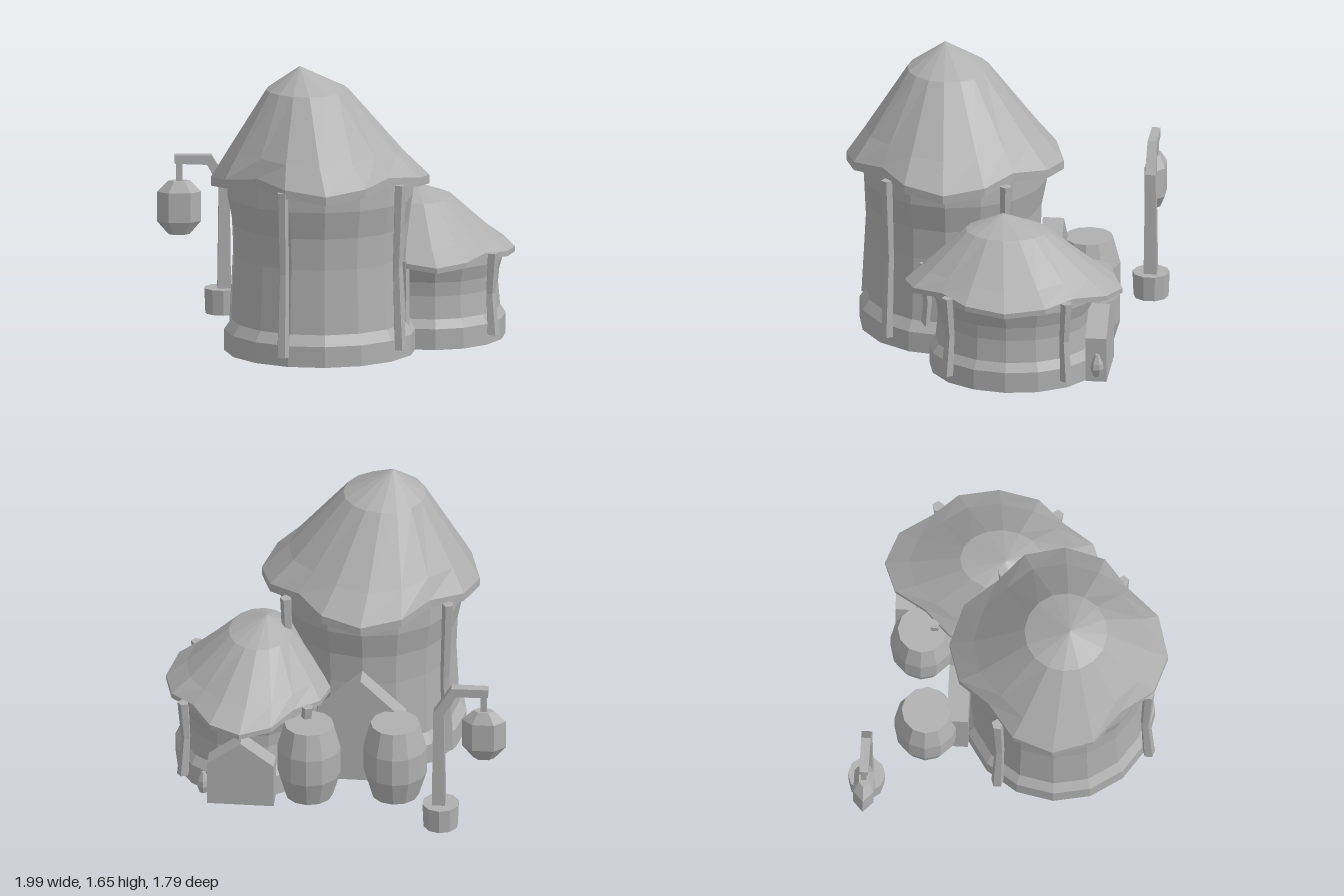
import * as THREE from 'three';

const stone = new THREE.MeshStandardMaterial({ color: 0xb0b0b0, flatShading: true, side: THREE.DoubleSide });
stone.name = 'plain grey';

function add(parent, name, geometry, x = 0, y = 0, z = 0) {
  const mesh = new THREE.Mesh(geometry, stone);
  mesh.name = name;
  mesh.position.set(x, y, z);
  parent.add(mesh);
  return mesh;
}

// Skin between closed rings that all have the same number of points.
function loft(rings) {
  const n = rings[0].length;
  const index = [];
  for (let i = 0; i < rings.length - 1; i++) {
    for (let j = 0; j < n; j++) {
      const a = i * n + j, b = i * n + (j + 1) % n, c = a + n, d = b + n;
      index.push(a, c, b, b, c, d);
    }
  }
  const indexed = new THREE.BufferGeometry().setFromPoints(rings.flat());
  indexed.setIndex(index);
  const geometry = indexed.toNonIndexed();
  geometry.computeVertexNormals();
  return geometry;
}

function ring(n, fn) {
  return Array.from({ length: n }, (_, j) => fn((j / n) * Math.PI * 2));
}

function lathe(points, sides) {
  return new THREE.LatheGeometry(points.map(([r, y]) => new THREE.Vector2(r, y)), sides);
}

// Thatched roof with four drooping corners and an off-centre tip.
// Each row: radius, height, centre x, centre z, corner sharpness, droop.
function roofGeometry() {
  const rows = [
    [0.50, 1.00, 0, 0, 0.08, 0.05],
    [0.62, 0.95, 0, 0, 0.15, 0.06],
    [0.62, 1.00, 0, 0, 0.15, 0.06],
    [0.50, 1.15, -0.03, 0.015, 0.08, 0.02],
    [0.235, 1.51, -0.075, 0.045, 0, 0],
    [0, 1.65, -0.12, 0.07, 0, 0],
  ];
  return loft(rows.map(([r, y, cx, cz, sharp, droop]) => ring(16, (a) => {
    const k = Math.sin(2 * a) ** 2;
    const rr = r * (1 - sharp * k * k);
    return new THREE.Vector3(cx + rr * Math.cos(a), y - 0.95 + droop * k, cz + rr * Math.sin(a));
  })));
}

// Five-sided post, pinched and bent slightly toward the house axis.
function poleGeometry(x, z, bottom, top) {
  const len = Math.hypot(x, z);
  const rows = [[0, bottom, 0], [0.036, bottom, 0], [0.028, (bottom + top) / 2, 0.02], [0.034, top, 0], [0, top, 0]];
  return loft(rows.map(([r, y, bend]) => ring(5, (a) => new THREE.Vector3(
    x * (1 - bend / len) + r * Math.cos(a), y, z * (1 - bend / len) + r * Math.sin(a)))));
}

// Gabled slab that stands against the back wall.
function doorGeometry(half, shoulder, peak, depth) {
  const shape = new THREE.Shape();
  shape.moveTo(-half, 0);
  shape.lineTo(half, 0);
  shape.lineTo(half, shoulder);
  shape.lineTo(0, peak);
  shape.lineTo(-half, shoulder);
  shape.closePath();
  return new THREE.ExtrudeGeometry(shape, { depth, bevelEnabled: false });
}

function house(o) {
  const g = new THREE.Group();
  g.name = o.name;
  g.position.set(o.x, 0, o.z);
  add(g, 'wall', lathe(o.wall, 16)).scale.set(o.sx, 1, o.wallZ);
  add(g, 'roof', roofGeometry(), 0, o.eave, 0).scale.set(o.sx, o.roofY, 1);
  for (const [px, pz] of [[-0.24, 0.525], [0.435, 0.34], [-0.47, -0.32], [0.45, -0.34]]) {
    add(g, 'pole', poleGeometry(px * o.sx, pz, 0.06, o.poleTop));
  }
  const [half, shoulder, peak, back] = o.door;
  add(g, 'door', doorGeometry(half, shoulder, peak, 0.12), 0, 0, back);
  // Small faceted lamp beside the door
  const [lx, lz, low, high] = o.lamp;
  const h = high - low;
  add(g, 'doorLamp', lathe([[0, 0], [0.022, 0], [0.038, h * 0.35], [0.034, h * 0.6], [0.012, h], [0, h]], 6), lx, low, lz);
  return g;
}

function createModel() {
  const model = new THREE.Group();
  model.name = 'hutWithTower';

  model.add(house({
    name: 'tower', x: -0.13, z: 0.27, sx: 1, wallZ: 1, eave: 0.95, roofY: 1, poleTop: 1.01,
    wall: [[0.545, 0], [0.545, 0.12], [0.505, 0.18], [0.487, 0.55], [0.493, 0.73], [0.525, 0.89], [0.525, 1.03]],
    door: [0.25, 0.41, 0.65, -0.62], lamp: [0.28, -0.6, 0.08, 0.26],
  }));
  model.add(house({
    name: 'hut', x: 0.52, z: -0.135, sx: 0.766, wallZ: 0.87, eave: 0.47, roofY: 0.6, poleTop: 0.53,
    wall: [[0.55, 0], [0.55, 0.12], [0.51, 0.17], [0.495, 0.3], [0.505, 0.38], [0.535, 0.46], [0.535, 0.52]],
    door: [0.19, 0.26, 0.4, -0.55], lamp: [0.215, -0.5, 0.045, 0.175],
  }));

  // Barrels behind the houses
  const staves = [[0, 0], [0.135, 0], [0.18, 0.15], [0.18, 0.31], [0.14, 0.46], [0, 0.46]];
  for (const [x, z] of [[0.145, -0.52], [-0.34, -0.468]]) add(model, 'barrel', lathe(staves, 12), x, 0, z);

  // Lantern post: round foot and a square beam bent over into an arm
  const lantern = new THREE.Group();
  lantern.name = 'lanternPost';
  lantern.position.z = -0.79;
  model.add(lantern);
  add(lantern, 'foot', new THREE.CylinderGeometry(0.106, 0.1, 0.145, 10), -0.63, 0.0725, 0);
  const path = [ // x, y, side direction x and y, half width
    [-0.62, 0.1, 1, 0, 0.038], [-0.62, 0.74, 1, 0.2, 0.03],
    [-0.705, 0.885, 0.5, 1, 0.027], [-0.9, 0.89, 0, 1, 0.025], [-0.9, 0.89, 0, 1, 0],
  ];
  add(lantern, 'beam', loft(path.map(([x, y, nx, ny, h]) => ring(4, (a) => {
    const u = h * Math.SQRT2 * Math.cos(a + Math.PI / 4), v = h * Math.SQRT2 * Math.sin(a + Math.PI / 4);
    return new THREE.Vector3(x + nx * u, y + ny * u, v);
  }))));
  add(lantern, 'hanger', new THREE.BoxGeometry(0.035, 0.12, 0.03), -0.875, 0.815, 0);
  const lamp = lathe([[0, 0.455], [0.06, 0.455], [0.125, 0.53], [0.125, 0.7], [0.06, 0.765], [0, 0.765]], 6);
  lamp.rotateY(Math.PI / 2);
  add(lantern, 'lantern', lamp, -0.875, 0, 0).scale.z = 0.53;

  return model;
}

export { createModel };
